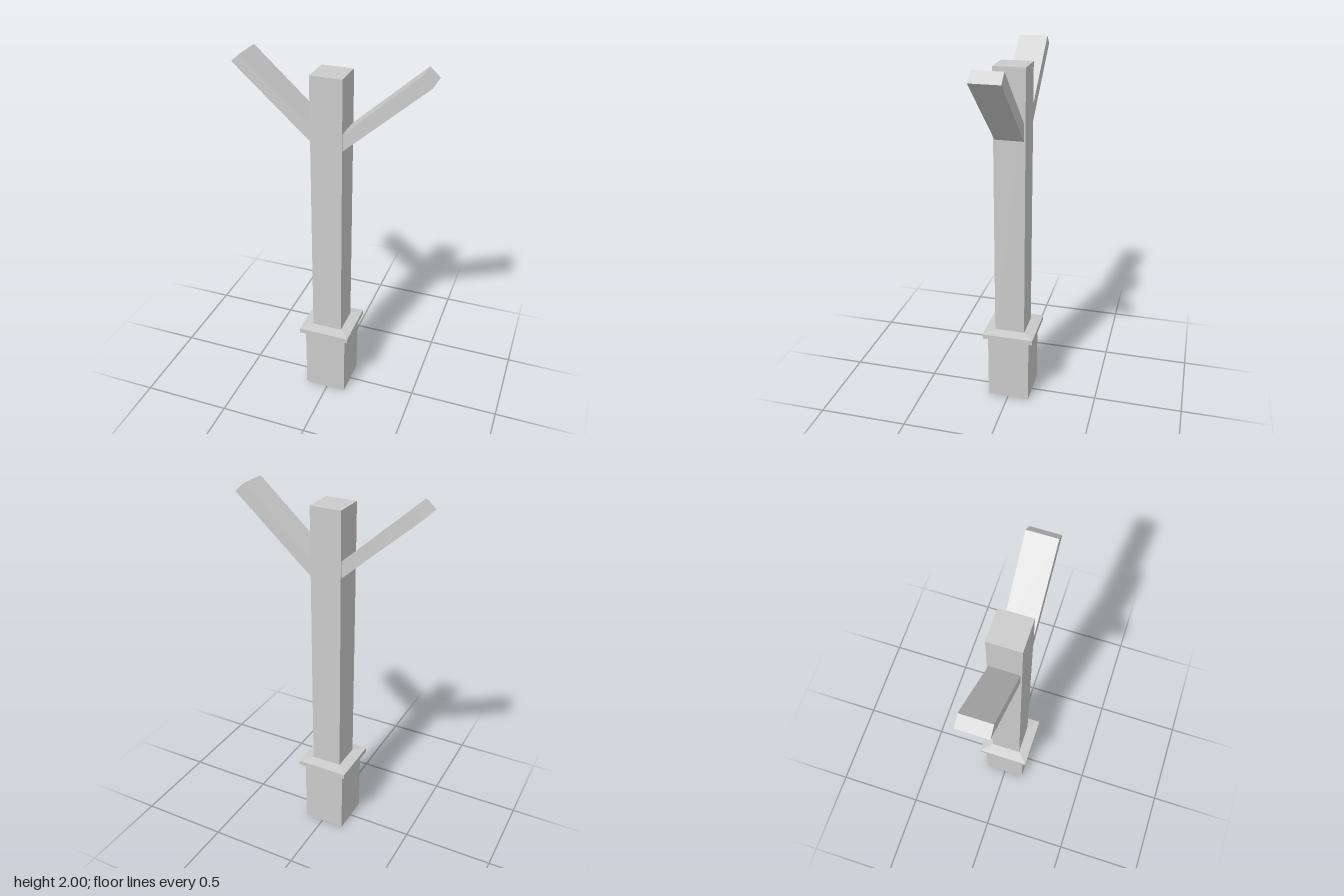
import * as THREE from 'three';

const CX = -0.01; // the column sits slightly off the centre of the arms

export function createModel() {
  const group = new THREE.Group();
  const material = new THREE.MeshStandardMaterial({ color: 0xcccccc, flatShading: true });

  const add = (name, geometry) => {
    const mesh = new THREE.Mesh(geometry, material);
    mesh.name = name;
    group.add(mesh);
  };

  // Square block standing between two heights
  const block = (width, bottom, top) =>
    new THREE.BoxGeometry(width, top - bottom, width)
      .translate(CX, (bottom + top) / 2, -0.002);

  add('base', block(0.238, 0, 0.39));
  add('post', block(0.17, 0.38, 1.933));

  // Square collar: bevelled underside, upright rim, gently sloped top
  const collarProfile = [[0.119, 0.382], [0.145, 0.394], [0.145, 0.422], [0.085, 0.432]]
    .map(([half, y]) => new THREE.Vector2(half * Math.SQRT2, y));
  add('collar', new THREE.LatheGeometry(collarProfile, 4, Math.PI / 4).translate(CX - 0.001, 0, -0.003));

  // Slanted arms: side outline extruded through the depth
  const arm = (corners) => {
    const shape = new THREE.Shape(corners.map(([x, y]) => new THREE.Vector2(x, y)));
    return new THREE.ExtrudeGeometry(shape, { depth: 0.156, bevelEnabled: false })
      .translate(0, 0, -0.08);
  };
  add('leftArm', arm([[0.075, 1.56], [0.506, 1.942], [0.452, 1.99], [0.075, 1.652]]));
  add('rightArm', arm([[-0.095, 1.585], [-0.095, 1.675], [-0.455, 2], [-0.508, 1.954]]));

  return group;
}
